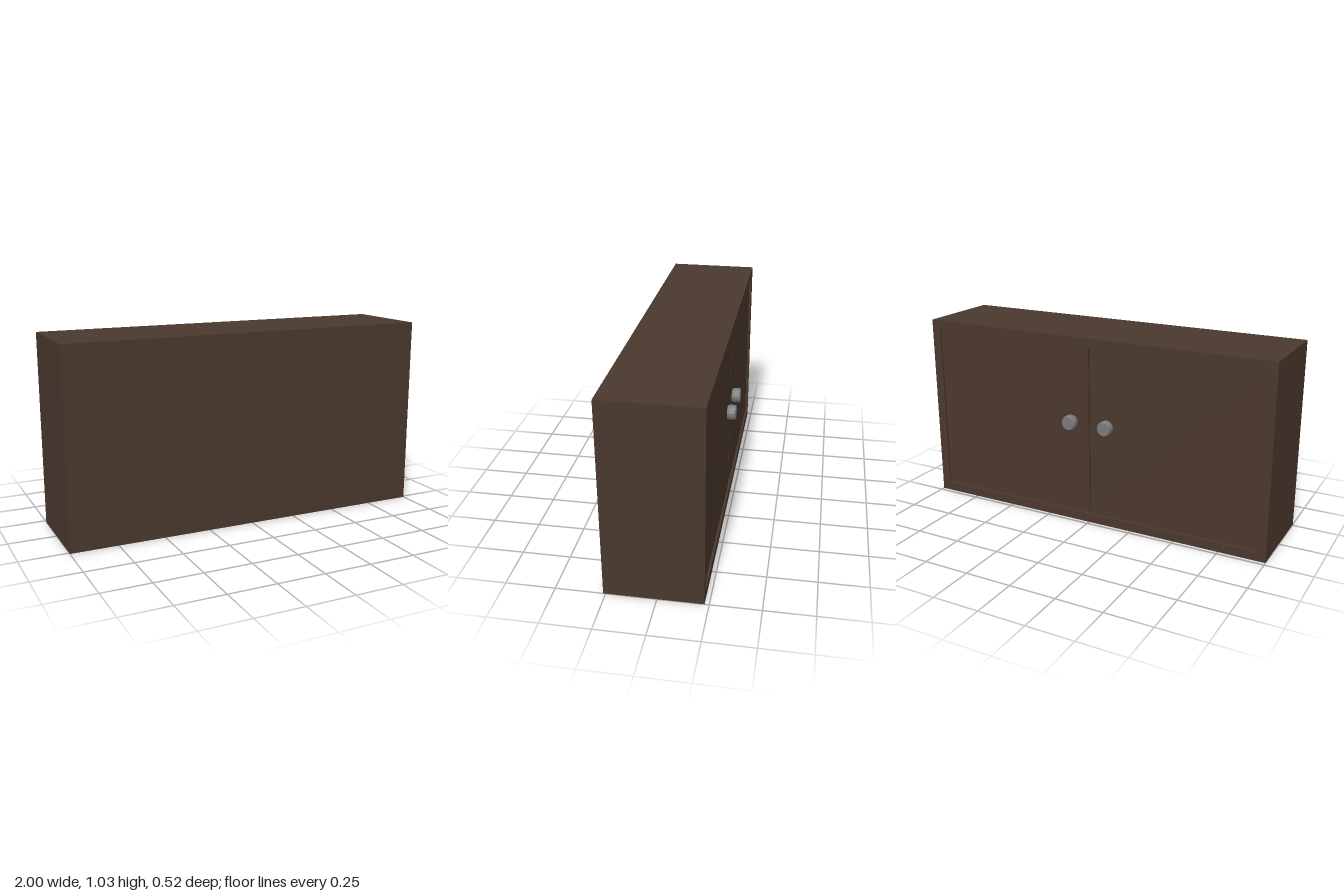
import * as THREE from 'three';

const W = 2, H = 1.03, RIM = 0.05;
const FACE_Z = -0.228, WALL_Z = 0.262, RECESS = 0.012;

export function createModel() {
  const model = new THREE.Group();
  const wood = new THREE.MeshStandardMaterial({ color: 0x4a382d });
  const metal = new THREE.MeshStandardMaterial({ color: 0x7a7a7a, flatShading: true });

  const add = (name, geometry, material, x, y, z, parent = model) => {
    const mesh = new THREE.Mesh(geometry, material);
    mesh.name = name;
    mesh.position.set(x, y, z);
    parent.add(mesh);
    return mesh;
  };

  // Carcass: rectangular surround, open on the door side
  const outline = new THREE.Shape([
    new THREE.Vector2(-W / 2, 0), new THREE.Vector2(W / 2, 0),
    new THREE.Vector2(W / 2, H), new THREE.Vector2(-W / 2, H),
  ]);
  const ix = W / 2 - RIM;
  outline.holes.push(new THREE.Path([
    new THREE.Vector2(-ix, RIM), new THREE.Vector2(-ix, H - RIM),
    new THREE.Vector2(ix, H - RIM), new THREE.Vector2(ix, RIM),
  ]));
  const depth = WALL_Z - FACE_Z;
  add('carcass', new THREE.ExtrudeGeometry(outline, { depth, bevelEnabled: false }), wood, 0, 0, FACE_Z);

  // Closed wall opposite the doors
  const wallT = 0.03;
  add('wallPanel', new THREE.BoxGeometry(2 * ix, H - 2 * RIM, wallT), wood, 0, H / 2, WALL_Z - wallT / 2);

  // Upright behind the gap where the doors meet
  add('centreStile', new THREE.BoxGeometry(0.06, H - 2 * RIM, 0.03), wood, 0, H / 2, FACE_Z + RECESS + 0.051);

  // Knob profile: short disc with a rounded rim, turned to point outward
  const knobProfile = [[0, 0], [0.036, 0], [0.04, 0.012], [0.04, 0.038], [0.036, 0.046], [0, 0.046]]
    .map(([r, y]) => new THREE.Vector2(r, y));
  const knobGeometry = new THREE.LatheGeometry(knobProfile, 14).rotateX(-Math.PI / 2);

  // Two recessed doors, each with a knob near the meeting edge
  const gap = 0.008, doorT = 0.035;
  const doorW = ix - gap / 2;
  for (const side of [-1, 1]) {
    const door = new THREE.Group();
    door.name = side > 0 ? 'leftDoor' : 'rightDoor';
    add('doorPanel', new THREE.BoxGeometry(doorW, H - 2 * RIM - 0.004, doorT), wood,
      side * (gap / 2 + doorW / 2), H / 2, FACE_Z + RECESS + doorT / 2, door);
    add('knob', knobGeometry, metal, side * 0.106, 0.565, FACE_Z + RECESS, door);
    model.add(door);
  }
  return model;
}
